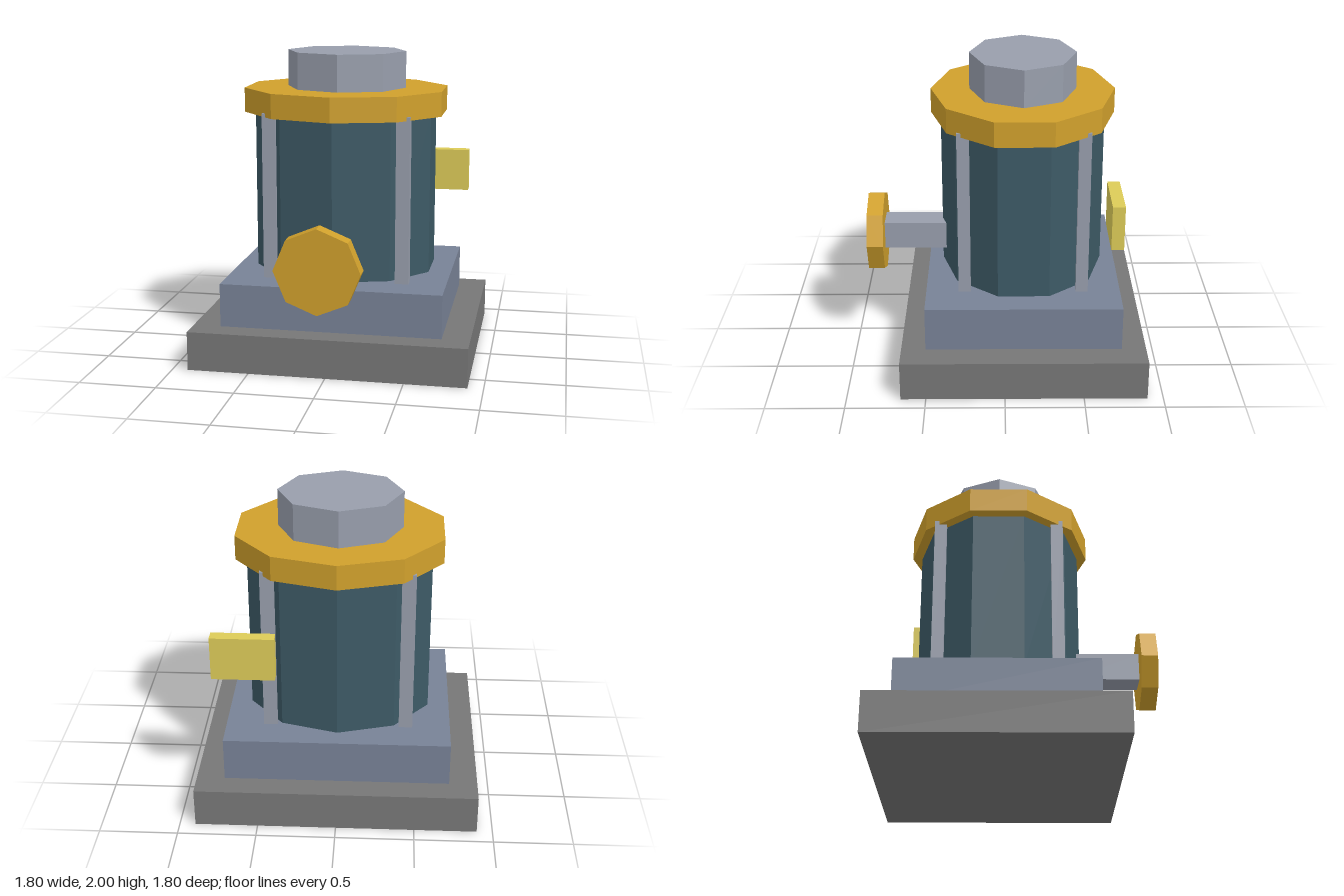
import * as THREE from 'three';

const paint = (color) => new THREE.MeshStandardMaterial({ color, flatShading: true });
const STONE = paint(0x777777);
const SLATE = paint(0x788296);
const STEEL = paint(0x989eac);
const TEAL = paint(0x3d5a66);
const GOLD = paint(0xd0a02c);
const YELLOW = paint(0xdccb58);

const AXIS_Z = -0.12; // the body stands behind the centre, the handwheel in front

export function createModel() {
  const model = new THREE.Group();
  model.name = 'valveMachine';

  const add = (name, geometry, material, x, y, z) => {
    const mesh = new THREE.Mesh(geometry, material);
    mesh.name = name;
    mesh.position.set(x, y, z);
    model.add(mesh);
    return mesh;
  };
  // Box given by its extents along each axis
  const box = (name, material, [x0, x1], [y0, y1], [z0, z1]) =>
    add(name, new THREE.BoxGeometry(x1 - x0, y1 - y0, z1 - z0), material,
      (x0 + x1) / 2, (y0 + y1) / 2, (z0 + z1) / 2);
  // Upright faceted prism, slightly flattened along z
  const prism = (name, material, rx, rz, y0, y1, sides) => {
    const geometry = new THREE.CylinderGeometry(rx, rx, y1 - y0, sides);
    geometry.scale(1, 1, rz / rx);
    return add(name, geometry, material, 0, (y0 + y1) / 2, AXIS_Z);
  };

  // Stepped foundation
  box('base', STONE, [-0.9, 0.9], [0, 0.255], [-0.9, 0.66]);
  box('plinth', SLATE, [-0.72, 0.72], [0.255, 0.54], [-0.745, 0.505]);

  // Body, flange and cap
  prism('drum', TEAL, 0.61, 0.53, 0.56, 1.61, 10);
  prism('flange', GOLD, 0.683, 0.592, 1.6, 1.76, 10);
  prism('cap', STEEL, 0.395, 0.343, 1.76, 2, 8);

  // Corner posts around the drum
  for (const sx of [-1, 1]) {
    for (const sz of [-1, 1]) {
      const x = sx * 0.434, z = AXIS_Z + sz * 0.377;
      box('cornerPost', STEEL, [x - 0.044, x + 0.044], [0.54, 1.625], [z - 0.039, z + 0.039]);
    }
  }

  // Handwheel on its square shaft
  box('wheelShaft', STEEL, [-0.09, 0.09], [0.67, 0.85], [0.34, 0.8]);
  const wheel = add('handwheel', new THREE.CylinderGeometry(0.27, 0.27, 0.106, 8), GOLD, 0, 0.76, 0.847);
  wheel.rotation.x = Math.PI / 2;

  // Plate at the back left
  box('signPlate', YELLOW, [0.378, 0.775], [0.98, 1.265], [-0.725, -0.647]);

  return model;
}
